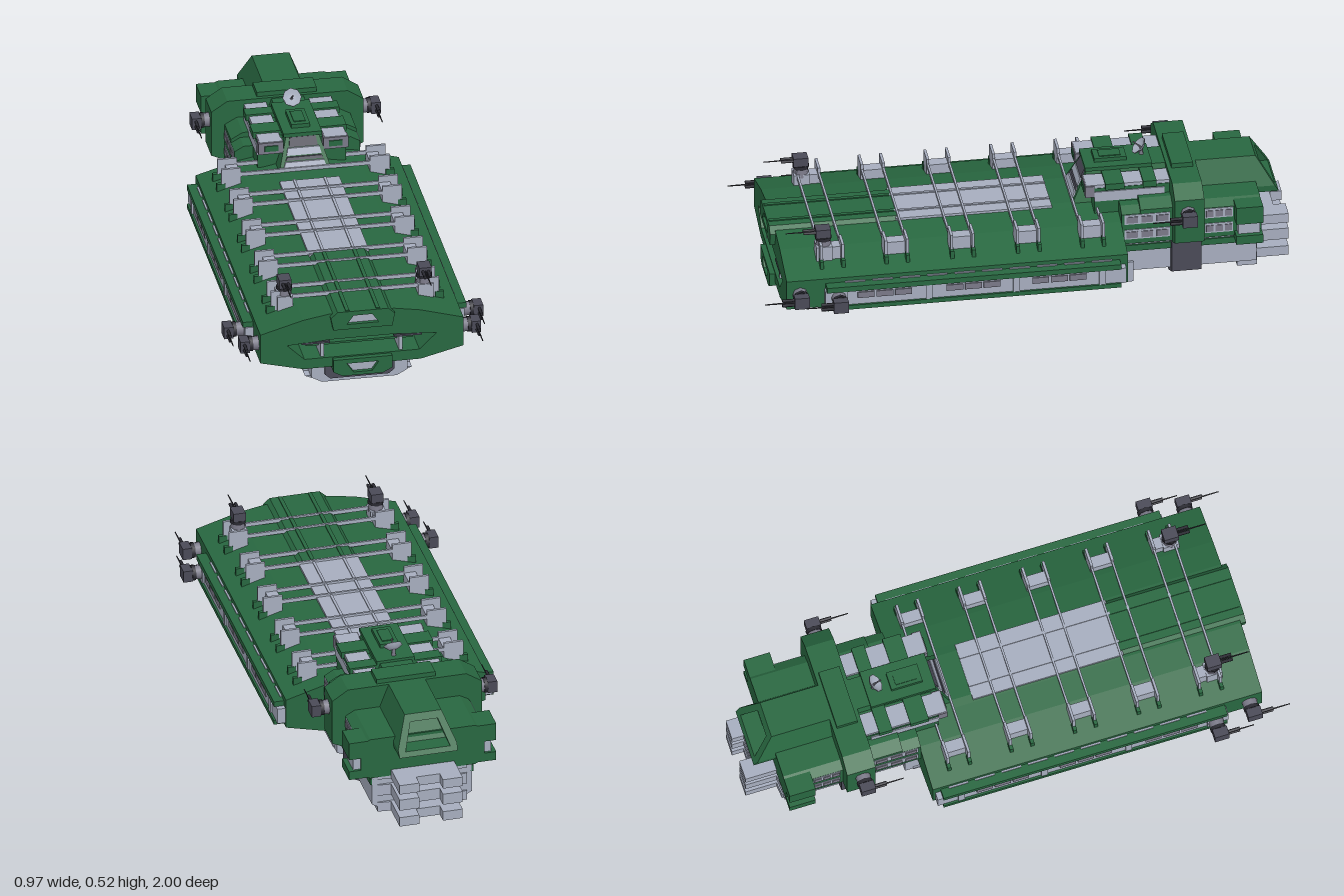
import * as THREE from 'three';

const mat = (name, color) => Object.assign(new THREE.MeshStandardMaterial({ color }), { name });
const green = mat('hull green', 0x286740);
const light = mat('light grey', 0xa6adbe);
const mid = mat('mid grey', 0x7a7988);
const dark = mat('dark grey', 0x4a4a57);
const black = mat('near black', 0x2a2a32);

export function createModel() {
  const root = new THREE.Group();
  root.name = 'spaceship';

  const add = (name, geo, material, parent = root) => {
    const m = new THREE.Mesh(geo, material);
    m.name = name;
    parent.add(m);
    return m;
  };
  // box given by its limits on each axis
  const box = (name, material, [x0, x1], [y0, y1], [z0, z1], parent = root) =>
    add(name, new THREE.BoxGeometry(x1 - x0, y1 - y0, z1 - z0)
      .translate((x0 + x1) / 2, (y0 + y1) / 2, (z0 + z1) / 2), material, parent);
  // the same box on both sides
  const pair = (name, material, [x0, x1], ys, zs, parent = root) => {
    box(name + 'Left', material, [x0, x1], ys, zs, parent);
    box(name + 'Right', material, [-x1, -x0], ys, zs, parent);
  };
  // mirrored outline from its +x half, listed bottom to top
  const outline = (half) => [...half, ...half.map(([x, y]) => [-x, y]).reverse()]
    .map(([x, y]) => new THREE.Vector2(x, y));
  const prism = (name, material, half, z0, z1, holes = [], shift = null) => {
    const s = new THREE.Shape(outline(half));
    for (const h of holes) s.holes.push(new THREE.Path(outline(h)));
    const g = new THREE.ExtrudeGeometry(s, { depth: z1 - z0, bevelEnabled: false }).translate(0, 0, z0);
    if (shift) {
      const p = g.attributes.position;
      for (let i = 0; i < p.count; i++) p.setZ(i, p.getZ(i) + shift(p.getY(i), p.getZ(i)));
      g.computeVertexNormals();
    }
    return add(name, g, material);
  };

  // main hull with an open mouth in the bow
  const hull = [[0.22, 0.105], [0.38, 0.145], [0.38, 0.262], [0.22, 0.308], [0.12, 0.325]];
  prism('mainHull', green, hull, -0.36, 0.78);
  prism('bow', green, hull, 0.78, 0.91, [[[0.215, 0.145], [0.28, 0.208], [0.12, 0.218]]]);
  box('mouthShelf', green, [-0.2, 0.2], [0.172, 0.18], [0.78, 0.86]);
  pair('mouthStrut', light, [0.14, 0.153], [0.145, 0.207], [0.8, 0.9]);
  pair('mouthLip', dark, [0.12, 0.225], [0.206, 0.213], [0.85, 0.912]);

  // bow prongs with grey inlets
  prism('upperProng', green, [[0.11, 0.265], [0.12, 0.315], [0.095, 0.338]], 0.45, 0.93,
    [[[0.06, 0.285], [0.035, 0.32]]]);
  prism('upperInlet', light, [[0.06, 0.285], [0.035, 0.32]], 0.45, 0.915);
  prism('lowerProng', green, [[0.075, 0.072], [0.11, 0.09], [0.11, 0.14]], 0.8, 0.93,
    [[[0.035, 0.085], [0.06, 0.122]]]);
  prism('lowerInlet', light, [[0.035, 0.085], [0.06, 0.122]], 0.8, 0.915);

  // top spine and cargo deck
  prism('spine', green, [[0.12, 0.3], [0.12, 0.325], [0.09, 0.331]], -0.36, 0.46);
  box('deckPlate', light, [-0.112, 0.112], [0.32, 0.336], [-0.12, 0.46]);
  pair('deckRib', light, [0.052, 0.062], [0.334, 0.34], [-0.12, 0.46]);
  pair('spineRib', green, [0.05, 0.064], [0.334, 0.342], [0.46, 0.925]);

  // five rail frames over the deck
  for (const z of [-0.24, 0, 0.245, 0.49, 0.73]) {
    const frame = new THREE.Group();
    frame.name = 'railFrame';
    frame.position.z = z;
    root.add(frame);
    for (const s of [-0.04, 0.04]) {
      box('crossBar', light, [-0.25, 0.25], [0.33, 0.345], [s - 0.004, s + 0.004], frame);
      pair('railPlate', light, [0.242, 0.315], [0.275, 0.365], [s - 0.005, s + 0.005], frame);
      pair('railFoot', green, [0.3, 0.332], [0.265, 0.306], [s - 0.007, s + 0.007], frame);
    }
    pair('railBlock', light, [0.242, 0.286], [0.285, 0.34], [-0.04, 0.04], frame);
  }

  // side galleries and their window rows
  const windows = (x, y0, y1, centres, w) => {
    for (const c of centres) for (const i of [-1, 0, 1]) {
      const z = c + i * w * 1.12;
      pair('window', mid, [x - 0.004, x + 0.004], [y0, y1], [z - w / 2, z + w / 2]);
    }
  };
  pair('galleryRoof', green, [0.37, 0.418], [0.222, 0.243], [-0.33, 0.765]);
  pair('gallery', light, [0.37, 0.41], [0.16, 0.222], [-0.35, 0.77]);
  pair('galleryFloor', green, [0.37, 0.418], [0.146, 0.163], [-0.33, 0.765]);
  for (let i = 0; i < 10; i++)
    pair('galleryTrim', light, [0.379, 0.387], [0.24, 0.247], [-0.3 + i * 0.102, -0.225 + i * 0.102]);
  windows(0.411, 0.19, 0.214, [0.55, 0.22, -0.1], 0.062);
  for (const z of [-0.26, 0.06, 0.385, 0.7]) pair('galleryRib', light, [0.405, 0.416], [0.163, 0.222], [z - 0.012, z + 0.012]);

  // lower hull
  prism('lowerHull', light, [[0.2, 0.038], [0.2, 0.12]], -0.41, 0.8);
  prism('lowerBow', light, [[0.14, 0.018], [0.18, 0.04], [0.18, 0.105]], 0.8, 0.86);
  prism('lowerBowFace', dark, [[0.11, 0.032], [0.13, 0.05], [0.13, 0.105]], 0.855, 0.866);
  box('lowerBowVent', light, [-0.05, 0.05], [0.055, 0.075], [0.86, 0.872]);
  prism('belly', light, [[0.145, 0.015], [0.2, 0.038]], -0.41, 0.84);
  prism('keelPlate', dark, [[0.12, 0], [0.145, 0.008], [0.202, 0.034]], -0.07, 0.37);
  windows(0.201, 0.07, 0.098, [0.55, 0.22, -0.1], 0.062);
  pair('lowerSideRail', light, [0.198, 0.206], [0.045, 0.055], [-0.38, 0.78]);

  // aft lower body
  prism('aftBody', light, [[0.13, 0.048], [0.19, 0.08], [0.19, 0.21]], -0.87, -0.36);
  prism('collarLower', dark, [[0.14, 0.04], [0.215, 0.075], [0.215, 0.215]], -0.66, -0.55);
  pair('aftStripe', green, [0.185, 0.197], [0.165, 0.19], [-0.87, -0.38]);

  // aft upper body
  prism('aftDeck', green, [[0.2, 0.2], [0.235, 0.22], [0.235, 0.345], [0.2, 0.365]], -0.88, -0.36);
  prism('collar', green, [[0.22, 0.205], [0.285, 0.235], [0.285, 0.415], [0.225, 0.455]], -0.66, -0.55);
  box('collarCap', green, [-0.112, 0.112], [0.45, 0.473], [-0.645, -0.565]);
  pair('tailBlock', green, [0.2, 0.28], [0.29, 0.36], [-0.88, -0.78]);
  pair('tailBlockLow', green, [0.2, 0.28], [0.205, 0.24], [-0.88, -0.78]);
  pair('tailBlockCore', light, [0.2, 0.262], [0.24, 0.29], [-0.87, -0.79]);
  for (const [z0, z1] of [[-0.54, -0.37], [-0.775, -0.67]]) for (const y of [0.24, 0.303]) {
    pair('aftPanel', light, [0.23, 0.2375], [y, y + 0.04], [z0, z1]);
    const n = 3, d = (z1 - z0) / n;
    for (let i = 0; i < n; i++)
      pair('aftWindow', mid, [0.234, 0.24], [y + 0.006, y + 0.032], [z0 + d * (i + 0.12), z0 + d * (i + 0.88)]);
  }

  // tail hood with a raked open back
  const hood = [[0.11, 0.32], [0.112, 0.345], [0.07, 0.455]];
  const rake = (y, z) => (z < -0.8 ? (y - 0.32) * 0.6 : 0);
  prism('tailHood', green, hood, -0.9, -0.64, [], rake);
  prism('tailRim', green, hood, -0.965, -0.9, [[[0.085, 0.338], [0.052, 0.43]]], rake);

  // engine slabs with forked ends
  const slab = new THREE.Shape([[-0.17, 0.8], [0.17, 0.8], [0.17, 0.875], [0.12, 0.88], [0.12, 1], [0.045, 1],
    [0.045, 0.955], [-0.045, 0.955], [-0.045, 1], [-0.12, 1], [-0.12, 0.88], [-0.17, 0.875]]
    .map(([x, y]) => new THREE.Vector2(x, y)));
  for (const [y0, y1] of [[0.05, 0.088], [0.118, 0.163], [0.187, 0.225]])
    add('engineSlab', new THREE.ExtrudeGeometry(slab, { depth: y1 - y0, bevelEnabled: false })
      .rotateX(-Math.PI / 2).translate(0, y0, 0), light);

  // bridge: raked tower, side wings, roof
  const lean = (y, z) => (z > -0.3 ? (0.33 - y) * 0.5 : 0);
  prism('bridgeTower', green, [[0.1, 0.32], [0.06, 0.45]], -0.56, -0.2, [], lean);
  for (const [m, y0, y1, w] of [[light, 0.345, 0.362, 0.078], [dark, 0.368, 0.378, 0.07],
    [light, 0.384, 0.408, 0.065], [dark, 0.412, 0.444, 0.054]])
    prism('bridgeFrontBand', m, [[w, y0], [w - 0.006, y1]], -0.215, -0.194, [], lean);
  box('bridgeRoof', green, [-0.072, 0.072], [0.445, 0.46], [-0.5, -0.25]);
  box('bridgeRoofBlock', green, [-0.035, 0.035], [0.46, 0.475], [-0.41, -0.29]);
  box('bridgeHatch', green, [-0.022, 0.022], [0.473, 0.478], [-0.39, -0.31]);
  prism('bridgeBase', green, [[0.235, 0.3], [0.235, 0.36], [0.19, 0.385]], -0.56, -0.43);
  pair('bridgeWing', green, [0.06, 0.165], [0.32, 0.425], [-0.55, -0.27]);
  for (const [z0, z1] of [[-0.31, -0.24], [-0.45, -0.38], [-0.55, -0.5]])
    pair('wingRoof', light, [0.08, 0.163], [0.415, 0.438], [z0, z1]);
  for (const [z0, z1] of [[-0.38, -0.31], [-0.5, -0.45]])
    pair('wingTop', green, [0.06, 0.175], [0.42, 0.445], [z0, z1]);
  pair('wingFront', mid, [0.075, 0.168], [0.39, 0.436], [-0.27, -0.236]);
  pair('wingPane', green, [0.095, 0.145], [0.402, 0.424], [-0.24, -0.232]);
  pair('wingSide', light, [0.16, 0.169], [0.372, 0.412], [-0.53, -0.27]);

  // dish antenna
  const dish = new THREE.Group();
  dish.name = 'dishAntenna';
  dish.position.set(0, 0.488, -0.47);
  root.add(dish);
  const profile = [[0, -0.004], [0.02, 0], [0.036, 0.012], [0.034, 0.015], [0.02, 0.004], [0, 0]]
    .map(([x, y]) => new THREE.Vector2(x, y));
  add('dishBowl', new THREE.LatheGeometry(profile, 8).rotateX(0.85), light, dish);
  add('dishFeed', new THREE.CylinderGeometry(0.003, 0.003, 0.04, 6).translate(0, 0.02, 0).rotateX(0.85), mid, dish);
  add('dishMast', new THREE.CylinderGeometry(0.006, 0.01, 0.045, 6).translate(0, -0.022, 0), mid, dish);

  // gun turrets; sideways ones turn their base outwards
  const turret = (x, y, z, roll, len) => {
    const g = new THREE.Group();
    g.name = 'gunTurret';
    g.position.set(x, y, z);
    g.rotation.z = roll;
    root.add(g);
    add('turretBase', new THREE.CylinderGeometry(0.026, 0.03, 0.035, 8).translate(0, 0.012, 0), mid, g);
    add('turretRing', new THREE.CylinderGeometry(0.03, 0.03, 0.014, 8).translate(0, 0.034, 0), black, g);
    box('turretHead', dark, [-0.023, 0.023], [0.04, 0.075], [-0.025, 0.03], g);
    for (const s of [-0.01, 0.01])
      add('gunSleeve', new THREE.CylinderGeometry(0.006, 0.006, 0.05, 6).rotateX(Math.PI / 2).translate(s, 0.06, 0.05), black, g);
    add('gunBarrel', new THREE.CylinderGeometry(0.002, 0.004, len, 6).rotateX(Math.PI / 2).translate(0, 0.06, len / 2), black, g);
  };
  for (const s of [1, -1]) {
    const out = -s * Math.PI / 2;
    turret(s * 0.375, 0.205, 0.86, out, 0.14);
    turret(s * 0.41, 0.195, 0.72, out, 0.13);
    turret(s * 0.278, 0.36, -0.6, out, 0.14);
    turret(s * 0.262, 0.338, 0.755, 0, 0.14);
  }
  pair('turretPlinth', light, [0.235, 0.292], [0.28, 0.345], [0.725, 0.785]);
  return root;
}
